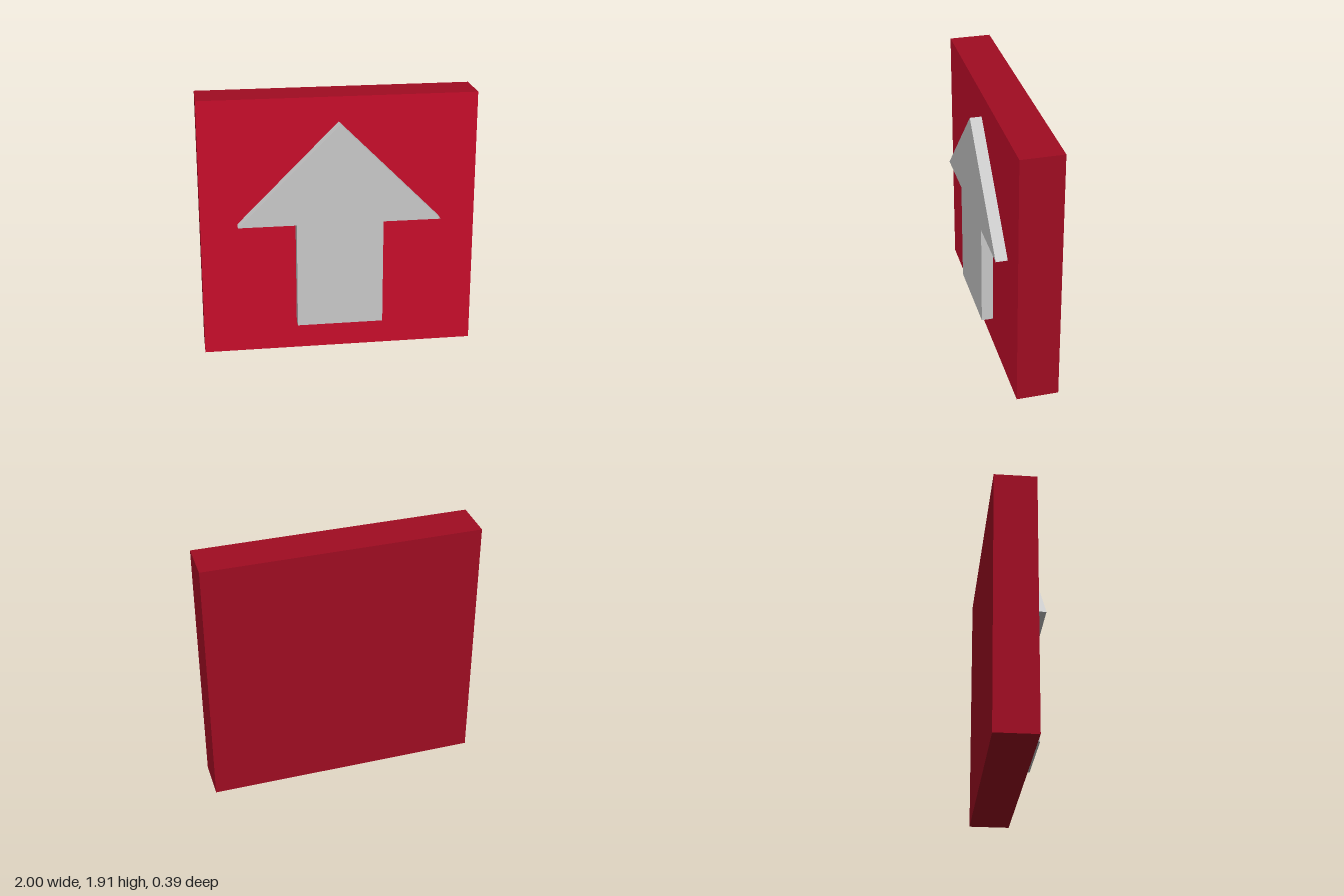
import * as THREE from 'three';

export function createModel() {
  const group = new THREE.Group();
  const mat = (name, color) => Object.assign(new THREE.MeshStandardMaterial({ color }), { name });
  const brightRed = mat('bright red', 0xc80d2b);
  const darkRed = mat('dark red', 0xa00c22);
  const lightGrey = mat('light grey', 0xc9c9c9);

  // Square slab: brighter front face, darker sides and back
  const height = 1.915, back = -0.195, face = 0.11, front = 0.195;
  const panel = new THREE.Mesh(
    new THREE.BoxGeometry(2, height, face - back),
    [darkRed, darkRed, darkRed, darkRed, brightRed, darkRed]
  );
  panel.name = 'panel';
  panel.position.set(0, height / 2, (face + back) / 2);
  group.add(panel);

  // Raised upward arrow, mirrored about x = 0
  const half = [[0.315, 0.215], [0.315, 1.0], [0.735, 1.0]];
  const outline = [
    ...half,
    [0, 1.735],
    ...half.map(([x, y]) => [-x, y]).reverse(),
  ].map(([x, y]) => new THREE.Vector2(x, y));
  const arrow = new THREE.Mesh(
    new THREE.ExtrudeGeometry(new THREE.Shape(outline), { depth: front - face, bevelEnabled: false }),
    lightGrey
  );
  arrow.name = 'arrow';
  arrow.position.z = face;
  group.add(arrow);

  return group;
}
